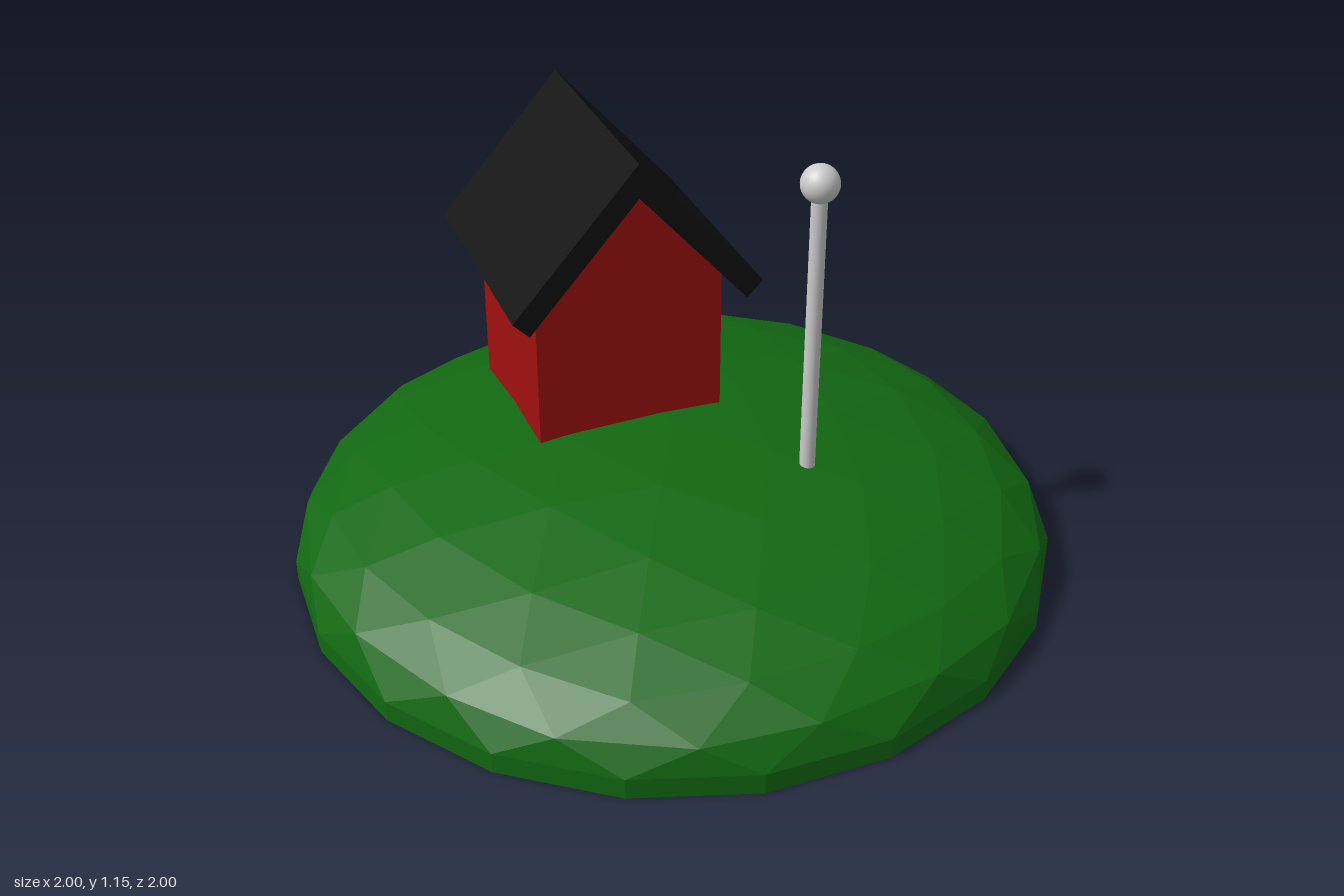
import * as THREE from 'three';

const mat = (color, flatShading = true) =>
  new THREE.MeshStandardMaterial({ color, flatShading });

function part(name, geometry, material) {
  const mesh = new THREE.Mesh(geometry, material);
  mesh.name = name;
  return mesh;
}

// Upper half of a twice-divided icosahedron with a vertex at the top
function domeGeometry(baseHeight, domeHeight) {
  const verts = [0, 1, 0];
  const lat = Math.atan(0.5);
  for (const [sign, shift] of [[1, 0], [-1, Math.PI / 5]]) {
    for (let i = 0; i < 5; i++) {
      const a = shift + (i * 2 * Math.PI) / 5;
      verts.push(Math.cos(lat) * Math.cos(a), sign * Math.sin(lat), -Math.cos(lat) * Math.sin(a));
    }
  }
  const faces = [];
  for (let i = 0; i < 5; i++) {
    const a = 1 + i, b = 1 + ((i + 1) % 5), c = 6 + i, d = 6 + ((i + 1) % 5);
    faces.push(0, a, b, a, c, b, b, c, d);
  }
  const once = new THREE.PolyhedronGeometry(verts, faces, 1, 1);
  const pts = Array.from(once.attributes.position.array);
  const twice = new THREE.PolyhedronGeometry(pts, pts.slice(0, pts.length / 3).map((_, i) => i), 1, 1);

  // Keep the triangles above the equator and flatten them
  const p = twice.attributes.position;
  const out = [];
  for (let i = 0; i < p.count; i += 3) {
    if (p.getY(i) + p.getY(i + 1) + p.getY(i + 2) < 0.001) continue;
    for (let j = i; j < i + 3; j++) out.push(p.getX(j), baseHeight + domeHeight * p.getY(j), p.getZ(j));
  }
  const geo = new THREE.BufferGeometry();
  geo.setAttribute('position', new THREE.Float32BufferAttribute(out, 3));
  geo.computeVertexNormals();
  return geo;
}

// Outline in the gable plane, extruded along the ridge
function prism(points, length) {
  const shape = new THREE.Shape(points.map(([x, y]) => new THREE.Vector2(x, y)));
  return new THREE.ExtrudeGeometry(shape, { depth: length, bevelEnabled: false })
    .translate(0, 0, -length / 2);
}

export function createModel() {
  const model = new THREE.Group();
  model.name = 'houseOnHill';

  // Grassy hill: flattened dome on a low straight rim
  const green = mat(0x126812);
  const rim = 0.055;
  const hill = new THREE.Group();
  hill.name = 'hill';
  hill.add(
    part('hillDome', domeGeometry(rim, 0.295), green),
    part('hillBase', new THREE.CylinderGeometry(1, 1, rim, 20).translate(0, rim / 2, 0), green),
  );
  model.add(hill);

  // House turned so that one gable faces front left
  const house = new THREE.Group();
  house.name = 'house';
  house.position.set(-0.285, 0, -0.155);
  house.rotation.y = Math.PI / 4;
  const walls = [[-0.25, 0.15], [0.25, 0.15], [0.25, 0.74], [0, 1.02], [-0.25, 0.74]];
  const roof = [
    [0, 1.11], [-0.33, 0.738], [-0.288, 0.695], [0, 1.02], [0.288, 0.695], [0.33, 0.738],
  ];
  house.add(
    part('walls', prism(walls, 0.5), mat(0xa01010)),
    part('roof', prism(roof, 0.66), mat(0x111111)),
  );
  model.add(house);

  // Flagpole with a ball on top
  const grey = mat(0xcccccc, false);
  const pole = new THREE.Group();
  pole.name = 'flagpole';
  pole.position.set(0.375, 0, 0);
  pole.add(
    part('pole', new THREE.CylinderGeometry(0.02, 0.02, 0.8, 24).translate(0, 0.7, 0), grey),
    part('poleBall', new THREE.SphereGeometry(0.048, 24, 16).translate(0, 1.107, 0), grey),
  );
  model.add(pole);

  return model;
}
